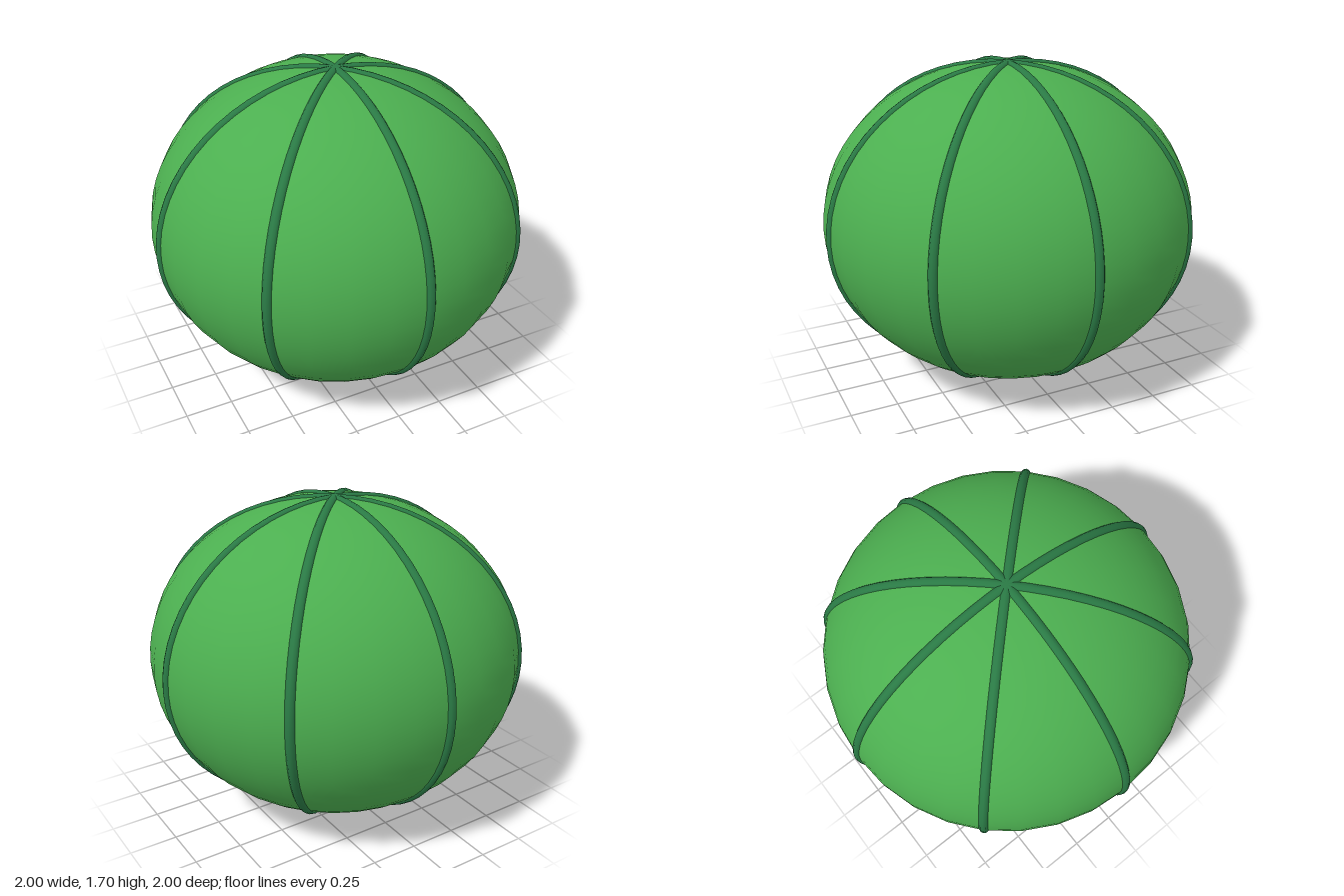
import * as THREE from 'three';

export function createModel() {
  const model = new THREE.Group();
  const squash = 0.85; // height relative to width
  const green = new THREE.MeshStandardMaterial({ color: 0x4caf50 });
  const darkGreen = new THREE.MeshStandardMaterial({ color: 0x2a7a45 });

  // Squashed round body
  const body = new THREE.Mesh(new THREE.SphereGeometry(0.985, 32, 32), green);
  body.name = 'body';
  body.scale.y = squash;
  body.position.y = squash;
  model.add(body);

  // Four full rings, each giving two opposite ribs from pole to pole
  const ringGeometry = new THREE.TorusGeometry(0.975, 0.025, 10, 64);
  const ribs = new THREE.Group();
  ribs.name = 'ribs';
  for (let i = 0; i < 4; i++) {
    const rib = new THREE.Mesh(ringGeometry, darkGreen);
    rib.name = `rib${i + 1}`;
    rib.rotation.y = (i * Math.PI) / 4;
    rib.scale.y = squash;
    rib.position.y = squash;
    ribs.add(rib);
  }
  model.add(ribs);

  return model;
}
